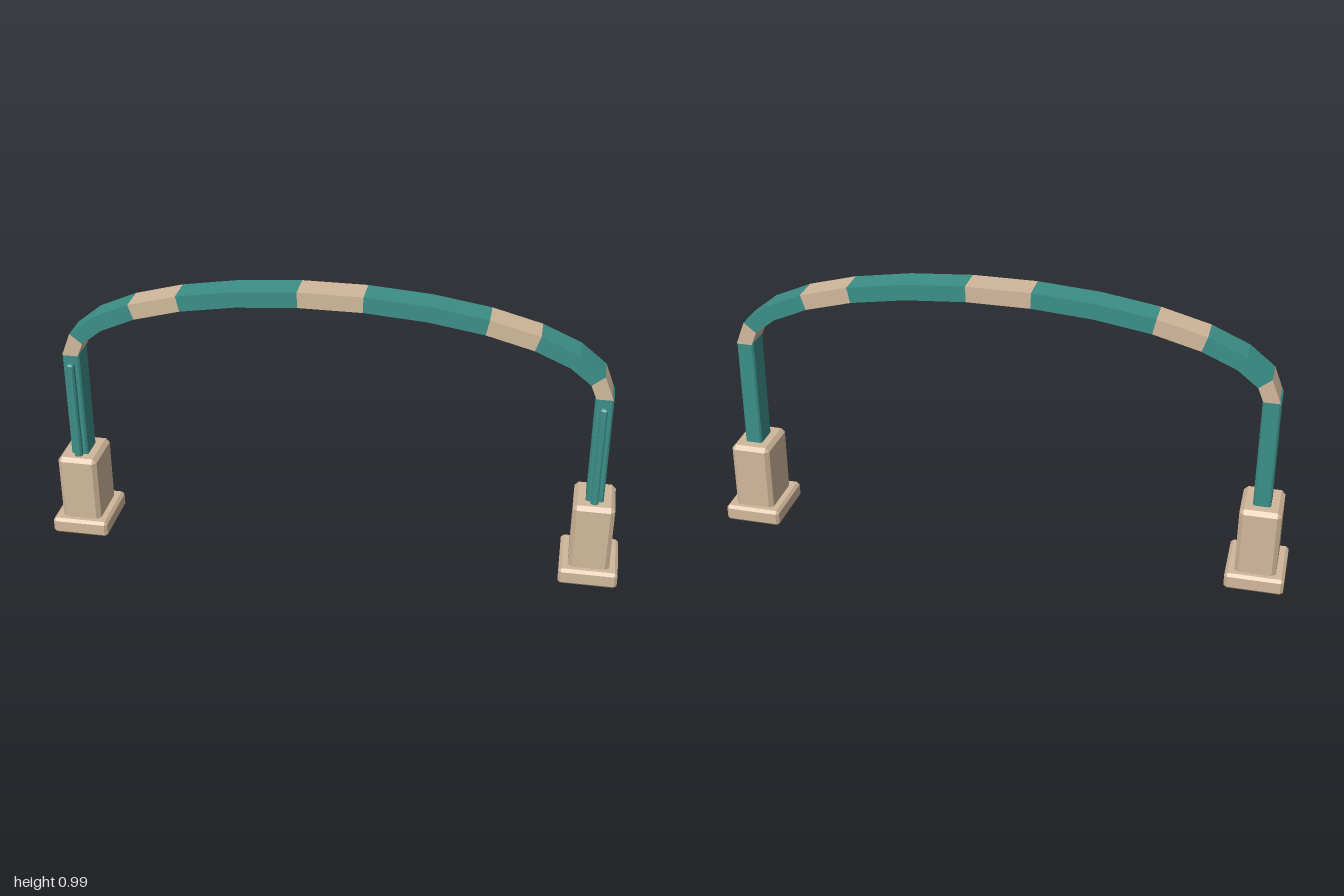
import * as THREE from 'three';
import { ConvexGeometry } from 'three/addons/geometries/ConvexGeometry.js';

const sand = new THREE.MeshStandardMaterial({ name: 'sand', color: 0xd2b89c });
const teal = new THREE.MeshStandardMaterial({ name: 'teal', color: 0x3c8f88 });

// Box with flat chamfers on every edge
function chamferBox(w, h, d, c) {
  const pts = [];
  for (const sx of [-1, 1]) for (const sy of [-1, 1]) for (const sz of [-1, 1]) {
    const x = w / 2, y = h / 2, z = d / 2;
    pts.push(
      new THREE.Vector3(sx * x, sy * (y - c), sz * (z - c)),
      new THREE.Vector3(sx * (x - c), sy * y, sz * (z - c)),
      new THREE.Vector3(sx * (x - c), sy * (y - c), sz * z));
  }
  return new ConvexGeometry(pts);
}

function block(name, material, w, y0, y1, d, c, z = 0) {
  const mesh = new THREE.Mesh(chamferBox(w, y1 - y0, d, c), material);
  mesh.name = name;
  mesh.position.set(0, (y0 + y1) / 2, z);
  return mesh;
}

// Support: stepped footing, post and a slim strip on its front
function support(name, x) {
  const g = new THREE.Group();
  g.name = name;
  g.position.x = x;
  g.add(
    block('footing', sand, 0.2, 0, 0.06, 0.23, 0.01),
    block('pedestal', sand, 0.14, 0.04, 0.3, 0.18, 0.014),
    block('post', teal, 0.06, 0.28, 0.7, 0.09, 0.006),
    block('frontStrip', teal, 0.026, 0.29, 0.66, 0.024, 0.006, 0.053));
  return g;
}

// Point on the elliptical arch, offset along its normal
const STEPS = 13, A = 0.9, B = 0.273, SPRING = 0.69;
function archPoint(k, offset) {
  const t = (k / STEPS) * Math.PI;
  const n = new THREE.Vector2(B * Math.cos(t), A * Math.sin(t)).normalize();
  return new THREE.Vector2(A * Math.cos(t), SPRING + B * Math.sin(t)).addScaledVector(n, offset);
}

// One coloured band of the arch, from step k0 to step k1
function archBand(k0, k1, material) {
  const outline = [];
  for (let k = k0; k <= k1; k++) outline.push(archPoint(k, 0.0275));
  for (let k = k1; k >= k0; k--) outline.push(archPoint(k, -0.0275));
  const geo = new THREE.ExtrudeGeometry(new THREE.Shape(outline), { depth: 0.1, bevelEnabled: false });
  geo.translate(0, 0, -0.05);
  const mesh = new THREE.Mesh(geo, material);
  mesh.name = material === sand ? 'archSandBand' : 'archTealBand';
  return mesh;
}

export function createModel() {
  const model = new THREE.Group();
  model.name = 'archway';
  model.add(support('leftSupport', 0.9), support('rightSupport', -0.9));

  const arch = new THREE.Group();
  arch.name = 'arch';
  const stops = [0, 1, 3, 4, 6, 7, 9, 10, 12, 13];
  for (let i = 0; i < stops.length - 1; i++) {
    arch.add(archBand(stops[i], stops[i + 1], i % 2 ? teal : sand));
  }
  model.add(arch);
  return model;
}
